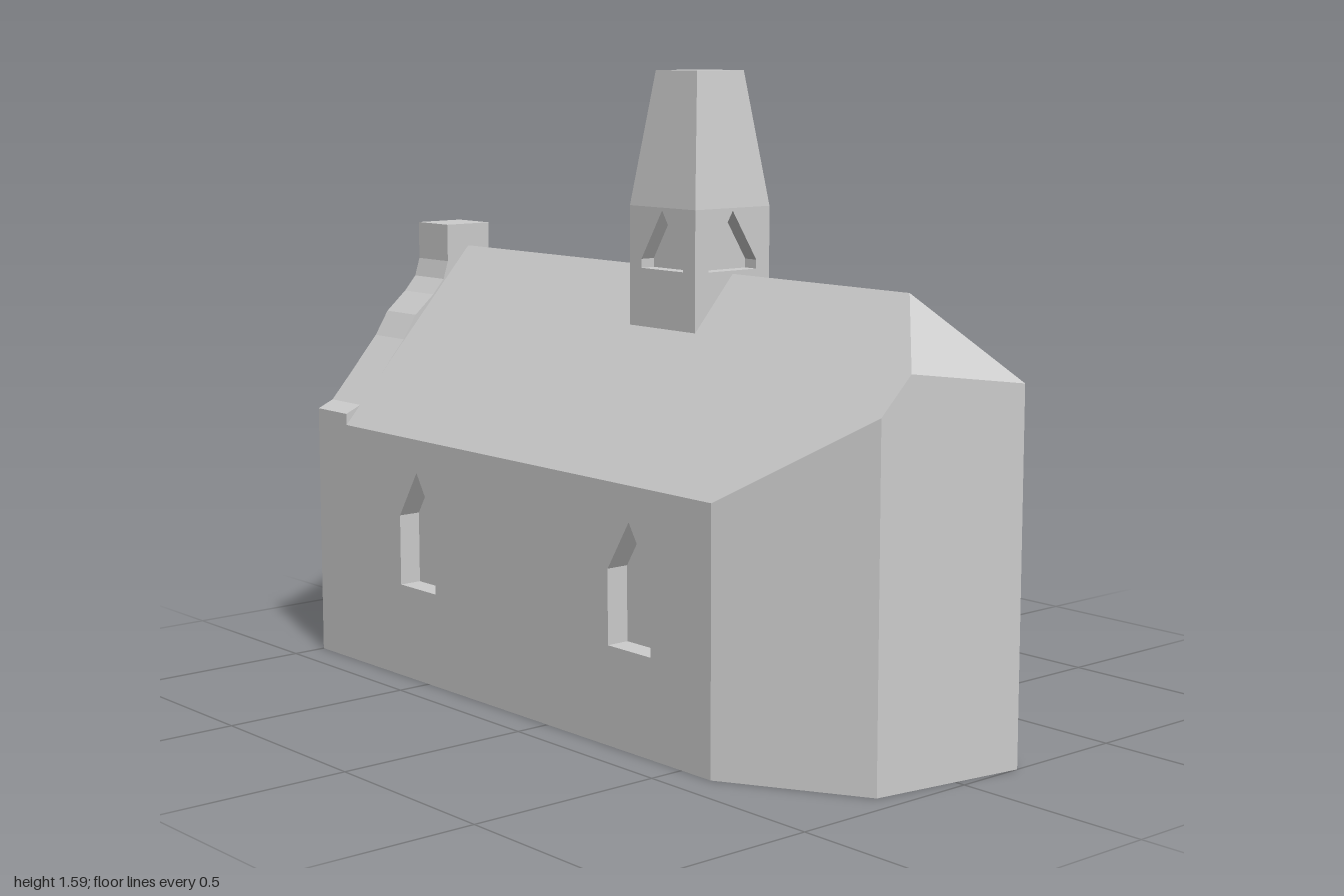
import * as THREE from 'three';

const stone = new THREE.MeshStandardMaterial({ color: 0xcccccc });
stone.name = 'plainGrey';

// Mesh from flat polygons, each a convex loop of [x, y, z] corners seen counter-clockwise
function polygons(name, faces) {
  const pos = [];
  for (const f of faces)
    for (let i = 1; i < f.length - 1; i++) pos.push(...f[0], ...f[i], ...f[i + 1]);
  const g = new THREE.BufferGeometry();
  g.setAttribute('position', new THREE.Float32BufferAttribute(pos, 3));
  g.computeVertexNormals();
  const m = new THREE.Mesh(g, stone);
  m.name = name;
  return m;
}

// Wall in its own xy plane, facing +z, with recessed niches cut into it
function nichedWall(name, outline, niches = [], depth = 0) {
  const vec = (pts) => pts.map(([x, y]) => new THREE.Vector2(x, y));
  const group = new THREE.Group();
  group.name = name;
  const shape = new THREE.Shape(vec(outline));
  shape.holes = niches.map((n) => new THREE.Path(vec(n)));
  const wall = new THREE.Mesh(new THREE.ShapeGeometry(shape), stone);
  wall.name = name + 'Face';
  group.add(wall);
  if (niches.length) {
    const faces = [];
    for (const n of niches) {
      n.forEach(([ax, ay], i) => {
        const [bx, by] = n[(i + 1) % n.length];
        faces.push([[ax, ay, 0], [bx, by, 0], [bx, by, -depth], [ax, ay, -depth]]);
      });
      faces.push(n.map(([x, y]) => [x, y, -depth]));
    }
    group.add(polygons(name + 'Niches', faces));
  }
  return group;
}

// Pointed opening: straight jambs with a gabled head
const pointed = (cx, halfWidth, sill, shoulder, apex) => [
  [cx - halfWidth, sill], [cx + halfWidth, sill], [cx + halfWidth, shoulder],
  [cx, apex], [cx - halfWidth, shoulder],
];

export function createModel() {
  const model = new THREE.Group();
  model.name = 'chapel';
  const W = 0.41, EAVE = 0.64, RIDGE = 1.1, X0 = -1, X1 = -0.865, CAP = 0.67;
  const roofY = (z) => RIDGE - Math.abs(z) * (RIDGE - EAVE) / W;

  // Long side walls with two windows each
  const windows = [-0.5425, 0.3125];
  const front = nichedWall('frontWall',
    [[X0, 0], [0.6, 0], [0.6, EAVE], [X1, EAVE], [X1, CAP], [X0, CAP]],
    windows.map((x) => pointed(x, 0.0775, 0.245, 0.43, 0.553)), 0.06);
  front.position.z = W;
  const back = nichedWall('backWall',
    [[-0.69, 0], [-X0, 0], [-X0, CAP], [-X1, CAP], [-X1, EAVE], [-0.69, EAVE]],
    windows.map((x) => pointed(-x, 0.0775, 0.245, 0.43, 0.553)), 0.11);
  back.position.z = -W;
  back.rotation.y = Math.PI;
  model.add(front, back);

  // Faceted far end
  const hipZ = 0.14, hipX = 0.952;
  const frontTop = [0.94, roofY(0.22), 0.22];
  const backTop = [1, roofY(0.18), -0.18];
  const hipFoot = [hipX, roofY(hipZ), hipZ];
  const ridgeEnd = [0.81, RIDGE, 0];
  model.add(polygons('apseWalls', [
    [[0.6, 0, W], [0.94, 0, 0.22], frontTop, [0.6, EAVE, W]],
    [[0.94, 0, 0.22], [1, 0, -0.18], backTop, hipFoot, frontTop],
    [[1, 0, -0.18], [0.69, 0, -W], [0.69, EAVE, -W], backTop],
  ]));

  // Roof slopes and hip
  model.add(polygons('roof', [
    [[X1, EAVE, W], [0.6, EAVE, W], frontTop, hipFoot, ridgeEnd, [X1, RIDGE, 0]],
    [[X1, RIDGE, 0], ridgeEnd, backTop, [0.69, EAVE, -W], [X1, EAVE, -W]],
    [ridgeEnd, hipFoot, backTop],
  ]));

  model.add(polygons('floor', [
    [[X0, 0, -W], [0.69, 0, -W], [1, 0, -0.18], [0.94, 0, 0.22], [0.6, 0, W], [X0, 0, W]],
  ]));

  // Gable with a shaped parapet and a doorway
  const half = [[W, CAP], [0.365, 0.69], [0.31, 0.752], [0.22, 0.856], [0.18, 0.92],
    [0.12, 0.972], [0.085, 1.012], [0.07, 1.06], [0.07, 1.16]];
  const profile = [...half, ...half.map(([z, y]) => [-z, y]).reverse()];
  const outline = [[-W, 0], [W, 0], ...profile];
  const gable = nichedWall('gableWall', outline, [pointed(0, 0.08, 0.09, 0.34, 0.425)], 0.1);
  gable.position.x = X0;
  gable.rotation.y = -Math.PI / 2;
  const inner = nichedWall('parapetInnerFace', outline);
  inner.position.x = X1;
  inner.rotation.y = Math.PI / 2;
  const coping = profile.slice(1).map(([z1, y1], i) => {
    const [z0, y0] = profile[i];
    return [[X0, y0, z0], [X1, y0, z0], [X1, y1, z1], [X0, y1, z1]];
  });
  model.add(gable, inner, polygons('parapetCoping', coping));

  // Bell tower: four walls with triangular niches and a tapered, flat-topped spire
  const tower = new THREE.Group();
  tower.name = 'bellTower';
  tower.position.x = 0.0975;
  const R = 0.1215, BASE = 0.95, TOP = 1.26;
  for (let i = 0; i < 4; i++) {
    const side = nichedWall('towerWall', [[-R, BASE], [R, BASE], [R, TOP], [-R, TOP]],
      [[[-0.078, 1.108], [0.078, 1.108], [0.078, 1.13], [0, 1.253], [-0.078, 1.13]]], 0.04);
    const a = i * Math.PI / 2;
    side.rotation.y = a;
    side.position.set(Math.sin(a) * R, 0, Math.cos(a) * R);
    tower.add(side);
  }
  const taper = new THREE.CylinderGeometry(0.076 * Math.SQRT2, R * Math.SQRT2, 1.59 - TOP, 4)
    .rotateY(Math.PI / 4).toNonIndexed();
  taper.computeVertexNormals();
  const spire = new THREE.Mesh(taper, stone);
  spire.name = 'spire';
  spire.position.y = (TOP + 1.59) / 2;
  tower.add(spire);
  model.add(tower);
  return model;
}
